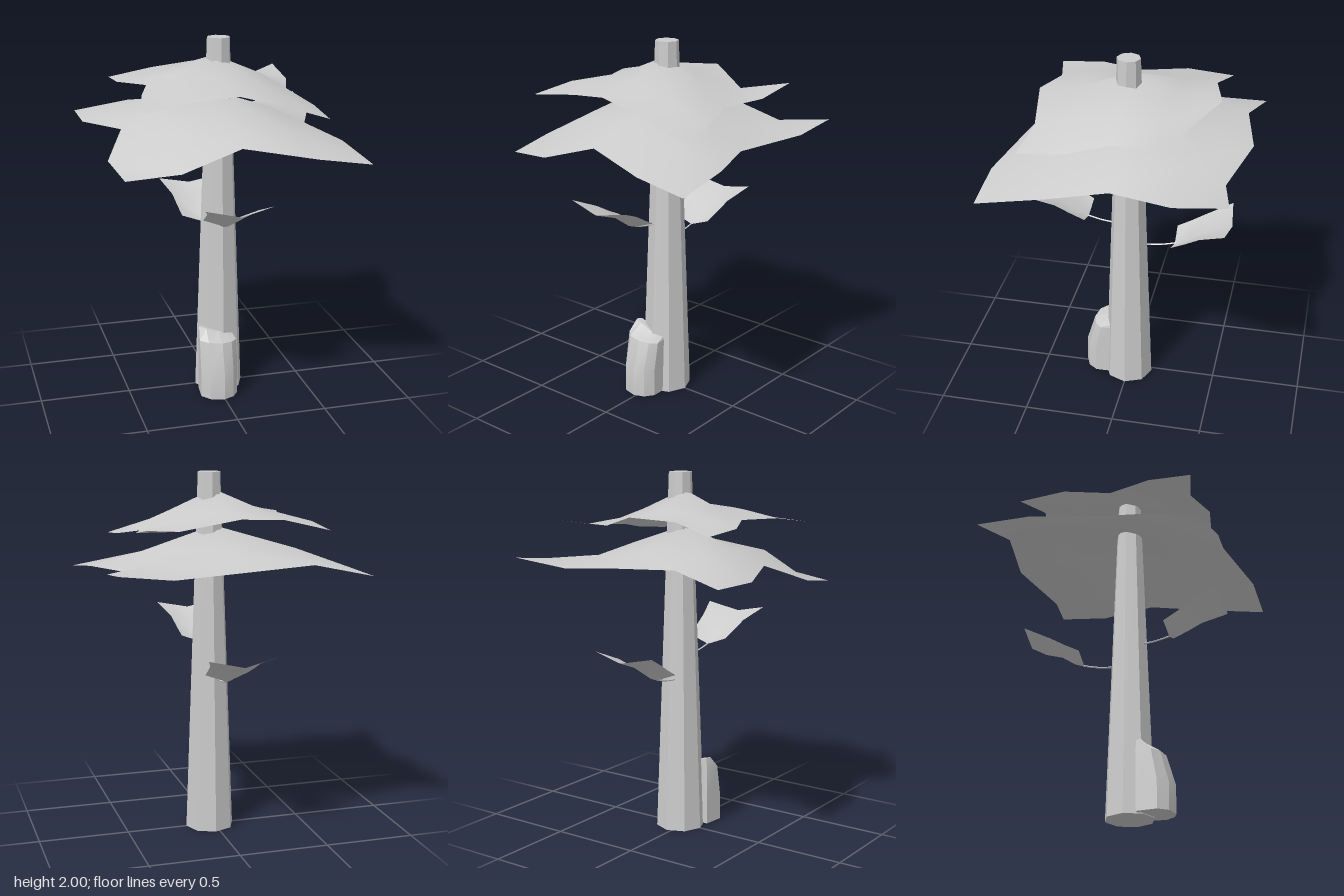
import * as THREE from 'three';
import { toCreasedNormals } from 'three/addons/utils/BufferGeometryUtils.js';

const grey = (opts = {}) => new THREE.MeshStandardMaterial({ color: 0xcccccc, ...opts });

function add(parent, name, geometry, material) {
  const mesh = new THREE.Mesh(geometry, material);
  mesh.name = name;
  parent.add(mesh);
  return mesh;
}

// Sheet through rows of [x, y, z] points; rows run towards +z, points towards +x
function sheet(rows) {
  const n = rows[0].length;
  const index = [];
  for (let r = 0; r < rows.length - 1; r++) {
    for (let c = 0; c < n - 1; c++) {
      const a = r * n + c, b = a + 1, d = a + n, e = d + 1;
      index.push(a, d, e, a, e, b);
    }
  }
  const g = new THREE.BufferGeometry();
  g.setAttribute('position', new THREE.Float32BufferAttribute(rows.flat(2), 3));
  g.setIndex(index);
  g.computeVertexNormals();
  return g;
}

// Drooping canopies, five rows from back to front
const lowerCanopy = [
  [[-0.66, 1.5, -0.66], [-0.36, 1.56, -0.59], [0, 1.55, -0.66], [0.37, 1.51, -0.565], [0.66, 1.55, -0.62]],
  [[-0.66, 1.5, -0.36], [-0.35, 1.615, -0.33], [0, 1.6, -0.34], [0.33, 1.56, -0.33], [0.66, 1.52, -0.34]],
  [[-0.51, 1.53, 0], [-0.34, 1.6, 0], [0, 1.71, 0], [0.32, 1.605, 0], [0.515, 1.48, 0]],
  [[-0.63, 1.43, 0.26], [-0.33, 1.57, 0.3], [0, 1.61, 0.3], [0.33, 1.54, 0.32], [0.625, 1.47, 0.31]],
  [[-0.595, 1.395, 0.54], [-0.32, 1.425, 0.59], [0, 1.525, 0.555], [0.37, 1.47, 0.655], [0.66, 1.425, 0.66]],
];
const upperCanopy = [
  [[-0.485, 1.72, -0.485], [-0.25, 1.775, -0.425], [0, 1.79, -0.485], [0.275, 1.72, -0.325], [0.485, 1.75, -0.485]],
  [[-0.485, 1.74, -0.23], [-0.24, 1.79, -0.24], [0, 1.8, -0.24], [0.26, 1.755, -0.23], [0.485, 1.71, -0.23]],
  [[-0.37, 1.76, 0], [-0.22, 1.81, 0], [0, 1.905, 0], [0.27, 1.79, 0], [0.41, 1.695, 0]],
  [[-0.445, 1.755, 0.24], [-0.24, 1.79, 0.24], [0, 1.81, 0.25], [0.26, 1.74, 0.24], [0.485, 1.655, 0.24]],
  [[-0.485, 1.72, 0.485], [-0.25, 1.742, 0.43], [0, 1.775, 0.485], [0.275, 1.695, 0.44], [0.485, 1.633, 0.485]],
];

// Side leaf: V section swept outwards along +z; [half width, z, midrib y, edge y, edge z]
function leaf() {
  const g = new THREE.Group();
  const stations = [
    [0.12, 0.235, 1.015, 1.06, 0.23],
    [0.13, 0.29, 1.035, 1.1, 0.31],
    [0.14, 0.4, 1.11, 1.145, 0.39],
    [0.187, 0.55, 1.165, 1.205, 0.53],
  ];
  const rows = stations.map(([w, z, y, ey, ez]) => [[-w, ey, ez], [0, y, z], [w, ey, ez]]);
  add(g, 'leafBlade', sheet(rows), grey({ side: THREE.DoubleSide }));
  const path = new THREE.CatmullRomCurve3([
    new THREE.Vector3(0, 0.99, 0.07),
    new THREE.Vector3(0, 1.0, 0.16),
    new THREE.Vector3(0, 1.02, 0.24),
  ]);
  add(g, 'leafStem', new THREE.TubeGeometry(path, 4, 0.005, 4), grey({ flatShading: true }));
  return g;
}

// Bark lump: one outline lofted up in rings [y, width scale, depth scale, tilt] that lean into the trunk
function barkLump() {
  const outline = [[-0.11, 0.07], [-0.122, 0.185], [-0.08, 0.238], [-0.005, 0.258],
    [0.052, 0.235], [0.088, 0.185], [0.085, 0.07]];
  const rings = [[0.005, 1, 1, 0], [0.16, 1, 1, 0], [0.324, 1, 0.74, -0.06], [0.36, 0.92, 0.25, -0.28]];
  const n = outline.length;
  const pos = [], index = [];
  for (const [y, kx, kz, tilt] of rings) {
    for (const [x, z] of outline) pos.push(x * kx, y + tilt * x, 0.07 + (z - 0.07) * kz);
  }
  for (let r = 0; r < rings.length - 1; r++) {
    for (let i = 0; i < n; i++) {
      const a = r * n + i, b = r * n + (i + 1) % n;
      index.push(a, b, b + n, a, b + n, a + n);
    }
  }
  const top = (rings.length - 1) * n;
  for (let i = 1; i < n - 1; i++) index.push(0, i + 1, i, top, top + i, top + i + 1);
  const g = new THREE.BufferGeometry();
  g.setAttribute('position', new THREE.Float32BufferAttribute(pos, 3));
  g.setIndex(index);
  return toCreasedNormals(g, 0.32);
}

export function createModel() {
  const model = new THREE.Group();
  model.name = 'tree';

  // Tapered eight-sided trunk
  const trunk = add(model, 'trunk', new THREE.CylinderGeometry(0.063, 0.136, 2, 8), grey({ flatShading: true }));
  trunk.position.set(0.025, 1, 0);

  add(model, 'lowerCanopy', sheet(lowerCanopy), grey({ side: THREE.DoubleSide }));
  add(model, 'upperCanopy', sheet(upperCanopy), grey({ side: THREE.DoubleSide }));
  add(model, 'barkLump', barkLump(), grey());

  // Leaves: a higher one in front, the same one turned round and lower behind
  const frontLeaf = leaf();
  frontLeaf.name = 'frontLeaf';
  const backLeaf = leaf();
  backLeaf.name = 'backLeaf';
  backLeaf.rotation.y = Math.PI;
  backLeaf.position.set(0, -0.12, -0.02);
  model.add(frontLeaf, backLeaf);

  return model;
}
